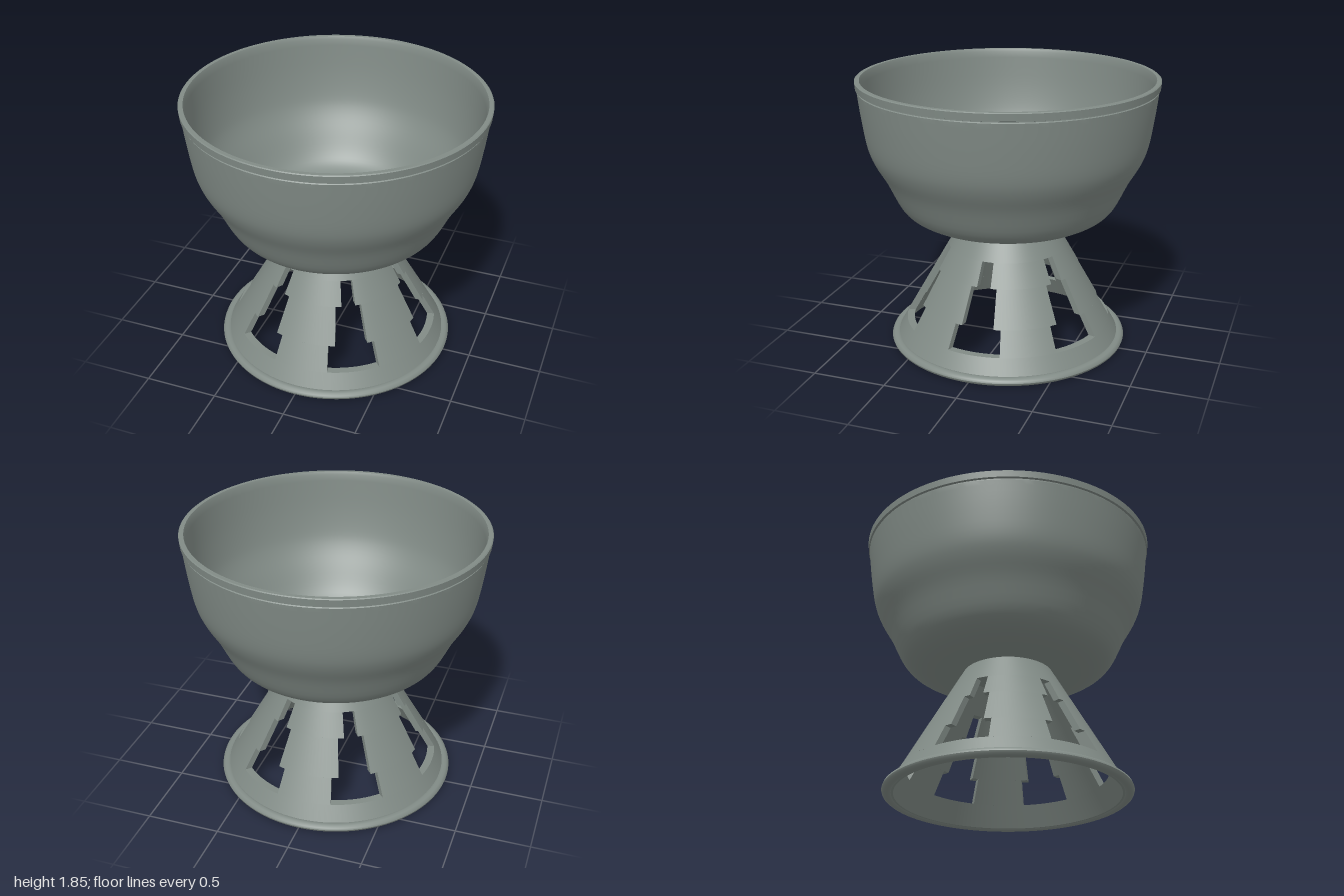
import * as THREE from 'three';
import { mergeGeometries, toCreasedNormals } from 'three/addons/utils/BufferGeometryUtils.js';

const rad = THREE.MathUtils.degToRad;
const points = (list) => list.map(([x, y]) => new THREE.Vector2(x, y));

// Full turned surface, sharp only at real corners
function turned(list, segments = 96) {
  return toCreasedNormals(new THREE.LatheGeometry(points(list), segments), 0.6);
}

// Solid wedge of a turned ring: counter-clockwise profile swept from angle a to b, with end caps
function sector(profile, a, b, segments) {
  const pts = points(profile);
  const body = new THREE.LatheGeometry([...pts, pts[0].clone()], segments, a, b - a);
  const start = new THREE.ShapeGeometry(new THREE.Shape(pts)).rotateY(a - Math.PI / 2);
  const end = new THREE.ShapeGeometry(new THREE.Shape(pts)).rotateY(b - Math.PI / 2);
  end.setIndex([...end.index.array].reverse());
  return toCreasedNormals(mergeGeometries([body, start, end]), 0.6);
}

export function createModel() {
  const group = new THREE.Group();
  const grey = new THREE.MeshStandardMaterial({ color: 0x818b86 });
  grey.name = 'stone grey';
  const add = (name, geometry) => {
    const mesh = new THREE.Mesh(geometry, grey);
    mesh.name = name;
    group.add(mesh);
  };

  // Bowl: smooth outer wall, stepped rim, smooth inner wall
  const outer = new THREE.SplineCurve(points([
    [0.4, 0.868], [0.53, 0.885], [0.645, 0.925], [0.73, 1.0], [0.82, 1.18],
    [0.895, 1.31], [0.935, 1.42], [0.965, 1.6], [0.988, 1.785],
  ])).getPoints(32).map((p) => [p.x, p.y]);
  const inner = new THREE.SplineCurve(points([
    [0.96, 1.83], [0.935, 1.6], [0.9, 1.42], [0.86, 1.31], [0.785, 1.18],
    [0.7, 1.04], [0.63, 0.97], [0.53, 0.93], [0.4, 0.92],
  ])).getPoints(32).map((p) => [p.x, p.y]);
  add('bowl', turned([
    [0, 0.868], ...outer,
    [0.982, 1.79], [0.982, 1.796], [0.996, 1.8], [1, 1.845], [0.994, 1.85], [0.968, 1.85],
    ...inner, [0.29, 0.92],
  ], 128));

  // Bowl floor: centre disc, five bridges and the sunken slots between them
  add('floorCentre', turned([[0.237, 0.87], [0.237, 0.92], [0, 0.92]]));
  const bridge = [[0.237, 0.87], [0.29, 0.87], [0.29, 0.92], [0.237, 0.92]];
  for (let i = 0; i < 5; i++) {
    const mid = rad(-90 + 36 + 72 * i);
    add('floorBridge', sector(bridge, mid - rad(18), mid + rad(18), 12));
  }
  add('slotBottoms', turned([[0.29, 0.905], [0.265, 0.895], [0.237, 0.872]]));

  // Conical foot: closed bands plus window tiers of decreasing half-angle
  const radius = (y) => 0.765 - 0.565 * (y - 0.055);
  const wall = 0.05;
  const band = (y0, y1) => [
    [radius(y0) - wall, y0], [radius(y0), y0], [radius(y1), y1], [radius(y1) - wall, y1],
  ];
  for (const [y0, y1] of [[0.01, 0.155], [0.69, 0.88]]) {
    const p = band(y0, y1);
    add('footBand', turned([...p, p[0]], 120));
  }
  const tiers = [[0.155, 0.31, 14.6], [0.31, 0.54, 10.2], [0.54, 0.69, 5.5]];
  for (const [y0, y1, half] of tiers) {
    for (let i = 0; i < 6; i++) {
      const mid = rad(60 * i);
      const reach = rad(30 - half);
      add('footPillar', sector(band(y0, y1), mid - reach, mid + reach, 16));
    }
  }

  // Rounded ring around the bottom edge
  const ring = [];
  for (let i = 0; i <= 12; i++) {
    const t = (i / 12) * Math.PI * 2;
    ring.push([0.781 + 0.036 * Math.cos(t), 0.0275 + 0.0275 * Math.sin(t)]);
  }
  add('baseRing', turned(ring, 120));

  return group;
}
